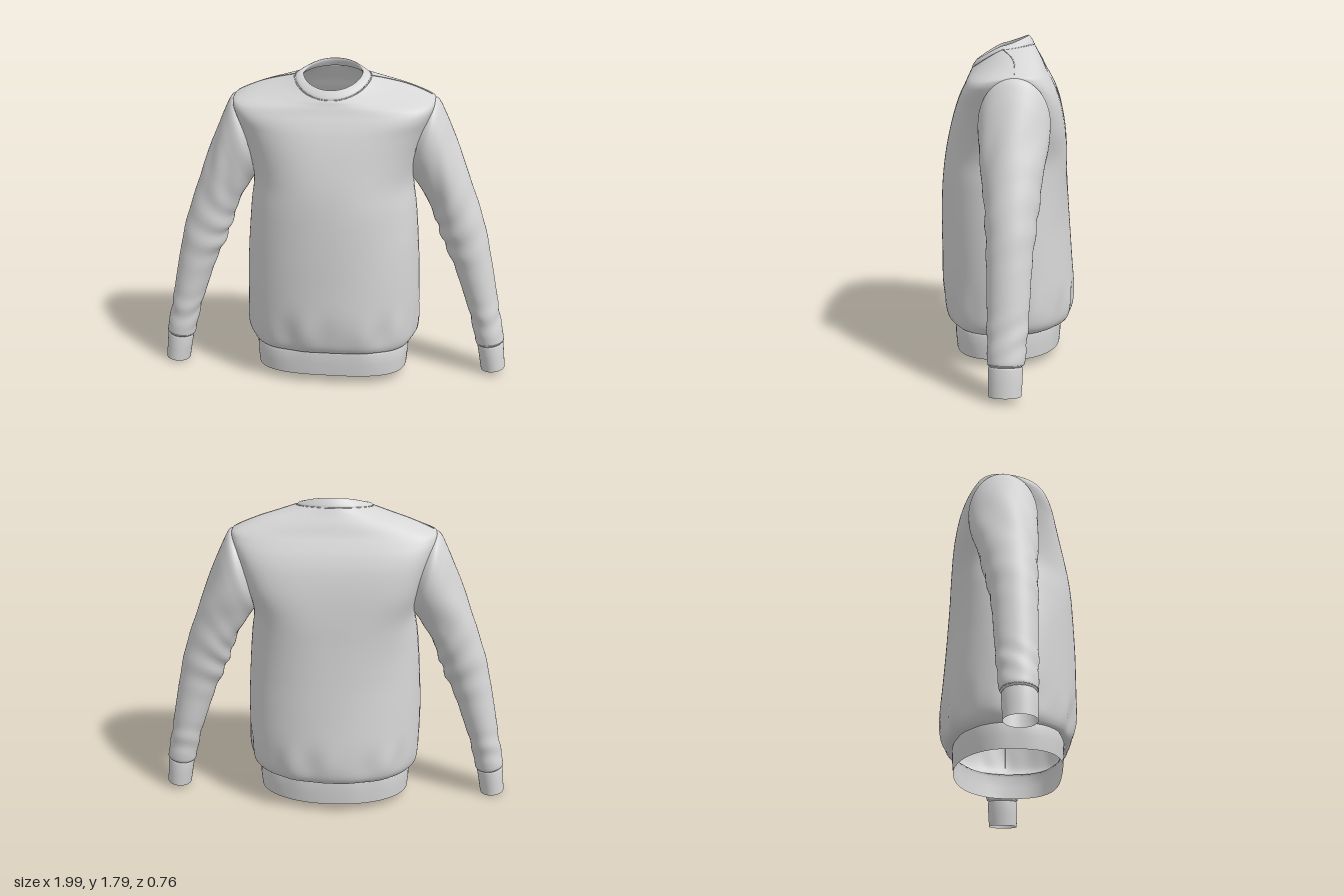
import * as THREE from 'three';

const fabric = new THREE.MeshStandardMaterial({ color: 0xd6d6d6, side: THREE.DoubleSide });
fabric.name = 'light grey fabric';

// Smoothly resample a list of cross-section rows
function resample(rows, steps) {
  const out = [];
  const last = rows.length - 1;
  for (let i = 0; i <= last * steps; i++) {
    const k = Math.min(Math.floor(i / steps), last - 1);
    const t = i / steps - k;
    const a = rows[Math.max(k - 1, 0)], b = rows[k], c = rows[k + 1], d = rows[Math.min(k + 2, last)];
    out.push(b.map((v, j) => {
      const m0 = (c[j] - a[j]) / 2, m1 = (d[j] - b[j]) / 2;
      return v + m0 * t + (3 * (c[j] - v) - 2 * m0 - m1) * t * t + (2 * (v - c[j]) + m0 + m1) * t * t * t;
    }));
  }
  return out;
}

// Open tube through closed rings; faces starting at a point inside a hole are left out
function loft(name, rows, point, sides, inHole = () => false) {
  const pos = [], index = [];
  rows.forEach((row, r) => {
    for (let s = 0; s < sides; s++) {
      const p = point(row, (s / sides) * Math.PI * 2);
      pos.push(...p);
      if (r === 0 || inHole(p)) continue;
      const n = (s + 1) % sides, lo = (r - 1) * sides, hi = r * sides;
      index.push(lo + s, hi + s, lo + n, lo + n, hi + s, hi + n);
    }
  });
  const geo = new THREE.BufferGeometry();
  geo.setAttribute('position', new THREE.Float32BufferAttribute(pos, 3));
  geo.setIndex(index);
  geo.computeVertexNormals();
  const mesh = new THREE.Mesh(geo, fabric);
  mesh.name = name;
  return mesh;
}

function seam(name, points, closed = false) {
  const curve = new THREE.CatmullRomCurve3(points.map((p) => new THREE.Vector3(...p)), closed);
  const mesh = new THREE.Mesh(new THREE.TubeGeometry(curve, 80, 0.0025, 5, closed), fabric);
  mesh.name = name;
  return mesh;
}

const ringPoints = (row, point) =>
  Array.from({ length: 40 }, (_, i) => point(row, (i / 40) * Math.PI * 2));
const bump = (v, centre, width) => Math.exp(-(((v - centre) / width) ** 2));

// Torso row: half width, front z, back z, side y, front y, back y,
// front squareness, back squareness, z of the side line
function torsoPoint([w, zf, zb, ys, yf, yb, nf, nb, zc], a) {
  const c = Math.cos(a), s = Math.sin(a);
  const n = s > 0 ? nf : nb;
  const r = (Math.abs(c) ** n + Math.abs(s) ** n) ** (-1 / n);
  const y = ys + ((s > 0 ? yf : yb) - ys) * Math.abs(s * r) ** 1.2;
  // Gathers above the hem and soft drape below the arms
  const fold = 0.01 * bump(y, 0.3, 0.1) * (Math.sin(a * 11 + 1) + 0.6 * Math.sin(a * 17 + y * 6))
    + 0.004 * bump(y, 0.95, 0.3) * Math.sin(a * 6 + y * 7);
  const depth = s > 0 ? zf - zc : zc - zb;
  return [w * c * r * (1 + fold), y, zc + depth * s * r * (1 + fold * 2)];
}

const level = (w, zf, zb, y, nf, nb) => [w, zf, zb, y, y, y, nf, nb, 0];
const inArmhole = ([x, y, z]) =>
  Math.abs(x) > 0.35 && ((y - 1.375) / 0.185) ** 2 + ((z + 0.035) / 0.145) ** 2 < 1;

function sleevePoint(side) {
  // Sleeve row: outer x, y, inner x, y, front z, back z
  return ([xo, yo, xi, yi, zf, zb], a) => {
    const c = Math.cos(a), s = Math.sin(a);
    const mid = (yo + yi) / 2;
    // Diagonal creases at the elbow and gathers above the cuff
    const crease = 0.055 * bump(mid, 0.86, 0.2) * Math.sin(mid * 42 + s * 2 + side) * (0.6 - 0.4 * c)
      + 0.04 * bump(mid, 0.33, 0.1) * Math.sin(mid * 48 + s * 3)
      + 0.03 * bump(mid, 1.15, 0.12) * Math.sin(a * 5 + mid * 12);
    const k = 1 + crease;
    // The right arm hangs slightly lower and further forward
    const swing = side < 0 ? Math.min(1, Math.max(0, (1.3 - mid) / 0.5)) : 0;
    return [
      side * ((xo + xi) / 2 + ((xo - xi) / 2) * c * k),
      mid + ((yo - yi) / 2) * c * k - 0.016 * swing,
      (zf + zb) / 2 + ((zf - zb) / 2) * s * k + 0.034 * swing,
    ];
  };
}

export function createModel() {
  const model = new THREE.Group();
  model.name = 'sweatshirt';

  // Body, from hem gather to neckline, open at the armholes
  const neckRow = [0.206, 0.2, -0.144, 1.722, 1.612, 1.745, 2, 2, 0.027];
  const body = resample([
    level(0.43, 0.293, -0.3, 0.19, 2.8, 2.1),
    level(0.455, 0.325, -0.34, 0.205, 2.5, 2.1),
    level(0.482, 0.352, -0.367, 0.26, 2.25, 2.1),
    level(0.49, 0.373, -0.374, 0.4, 2.15, 2.1),
    level(0.49, 0.375, -0.36, 0.6, 2.15, 2.1),
    level(0.482, 0.374, -0.345, 0.8, 2.15, 2.15),
    level(0.465, 0.368, -0.335, 1.0, 2.15, 2.4),
    level(0.447, 0.352, -0.33, 1.15, 2.2, 3),
    level(0.472, 0.32, -0.318, 1.3, 2.4, 4.2),
    level(0.508, 0.285, -0.297, 1.42, 2.8, 4.6),
    [0.54, 0.257, -0.27, 1.52, 1.49, 1.5, 3.4, 4.4, -0.01],
    [0.558, 0.235, -0.24, 1.58, 1.535, 1.56, 3.5, 3.8, -0.03],
    [0.54, 0.222, -0.215, 1.612, 1.565, 1.605, 3.1, 3.3, -0.045],
    [0.42, 0.213, -0.19, 1.664, 1.585, 1.66, 2.6, 2.7, -0.04],
    [0.31, 0.207, -0.165, 1.696, 1.6, 1.705, 2.3, 2.3, -0.015],
    neckRow,
  ], 5);
  model.add(loft('body', body, torsoPoint, 112, inArmhole));

  // Hem band
  model.add(loft('hemBand', [
    level(0.43, 0.293, -0.3, 0.195, 2.8, 2.1),
    level(0.436, 0.298, -0.303, 0.18, 2.9, 2.1),
    level(0.434, 0.296, -0.302, 0.12, 3, 2.1),
    level(0.427, 0.29, -0.296, 0.05, 3, 2.1),
  ], torsoPoint, 96));

  // Ribbed collar with a turned-in edge
  model.add(loft('collar', resample([
    neckRow,
    [0.2, 0.199, -0.141, 1.729, 1.622, 1.755, 2, 2, 0.028],
    [0.183, 0.186, -0.129, 1.736, 1.642, 1.774, 2, 2, 0.028],
    [0.164, 0.17, -0.115, 1.738, 1.66, 1.79, 2, 2, 0.028],
    [0.162, 0.166, -0.113, 1.725, 1.65, 1.775, 2, 2, 0.028],
    [0.182, 0.178, -0.128, 1.705, 1.62, 1.745, 2, 2, 0.028],
  ], 3), torsoPoint, 64));
  model.add(seam('neckSeam',
    ringPoints([0.212, 0.201, -0.146, 1.72, 1.611, 1.742, 2, 2, 0.027], torsoPoint), true));

  // Sleeves, cuffs and the seams at each side
  const sleeve = resample([
    [0.52, 1.588, 0.425, 1.165, 0.125, -0.205],
    [0.572, 1.592, 0.445, 1.14, 0.145, -0.23],
    [0.618, 1.51, 0.475, 1.1, 0.146, -0.228],
    [0.66, 1.41, 0.505, 1.05, 0.138, -0.218],
    [0.712, 1.28, 0.545, 0.98, 0.127, -0.2],
    [0.772, 1.12, 0.58, 0.89, 0.112, -0.182],
    [0.85, 0.89, 0.625, 0.77, 0.1, -0.158],
    [0.893, 0.7, 0.685, 0.64, 0.094, -0.14],
    [0.927, 0.52, 0.738, 0.49, 0.09, -0.13],
    [0.953, 0.37, 0.785, 0.35, 0.088, -0.12],
    [0.978, 0.25, 0.815, 0.225, 0.086, -0.11],
    [0.985, 0.205, 0.825, 0.18, 0.084, -0.104],
    [0.976, 0.188, 0.842, 0.166, 0.076, -0.09],
  ], 7);
  const cuff = [
    [0.976, 0.19, 0.842, 0.168, 0.076, -0.09],
    [0.984, 0.18, 0.836, 0.158, 0.082, -0.096],
    [0.99, 0.11, 0.848, 0.09, 0.082, -0.093],
    [0.997, 0.036, 0.86, 0.018, 0.08, -0.088],
  ];
  for (const side of [1, -1]) {
    const name = side > 0 ? 'left' : 'right';
    const point = sleevePoint(side);
    const sideAngle = side > 0 ? 0 : Math.PI;
    model.add(loft(name + 'Sleeve', sleeve, point, 48));
    model.add(loft(name + 'Cuff', cuff, point, 48));
    model.add(seam(name + 'CuffSeam', ringPoints([0.984, 0.2, 0.83, 0.176, 0.083, -0.1], point), true));
    model.add(seam(name + 'ShoulderSeam', body.slice(60).map((row) => torsoPoint(row, sideAngle))));
    model.add(seam(name + 'SideSeam', body.slice(5, 36).map((row) => torsoPoint(row, sideAngle))));
  }
  return model;
}
